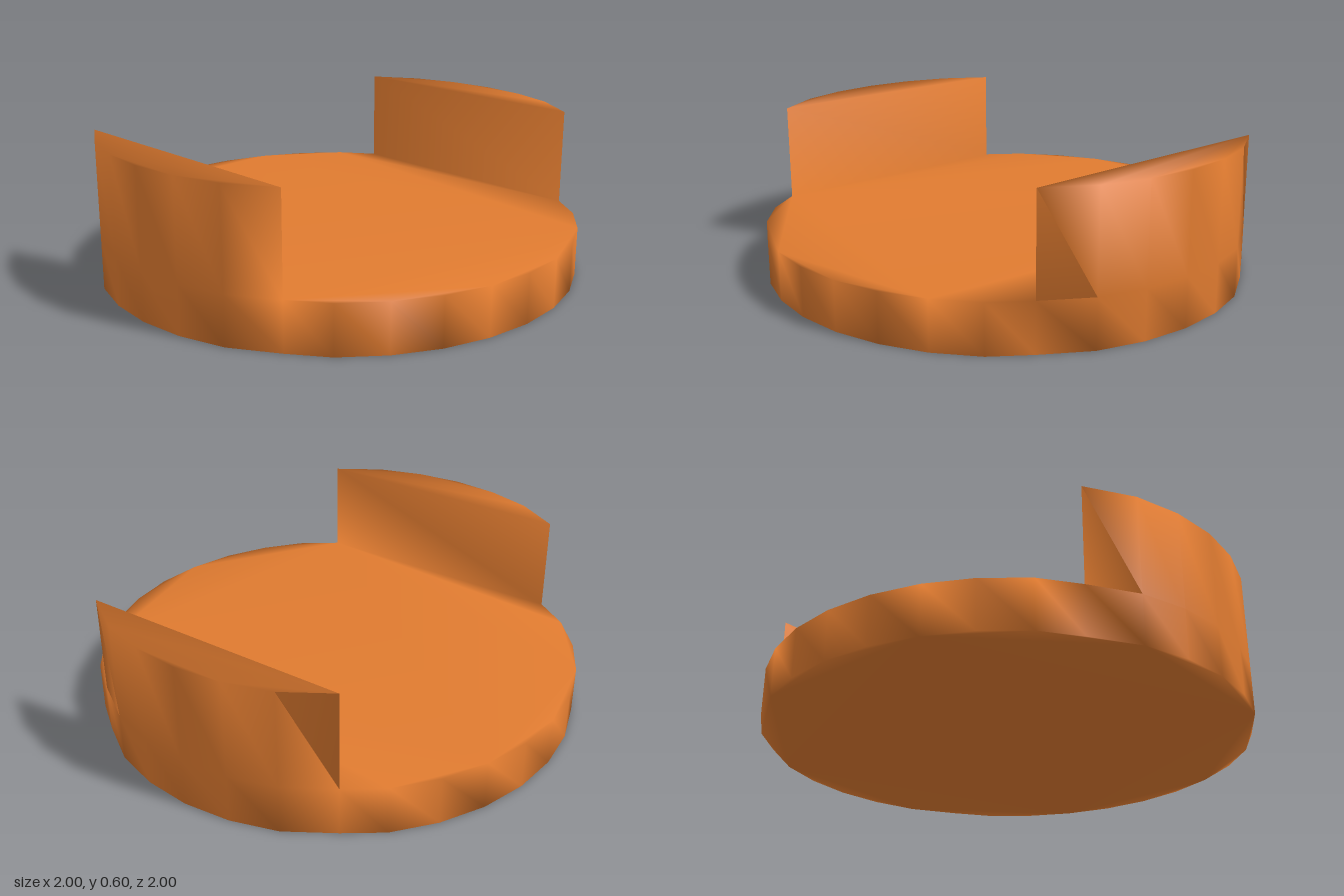
import * as THREE from 'three';
import { mergeVertices } from 'three/addons/utils/BufferGeometryUtils.js';

const FLOOR = 0.2, TOP = 0.6, SIDES = 32;
const WALL_END = new THREE.Vector2(0.81, 0.565);

// Outline in (x, z); the corners where the walls end sit on the wall chords
function outline() {
  const pts = [];
  for (let k = 0; k < SIDES; k++) {
    const a = (k / SIDES) * Math.PI * 2;
    const c = Math.cos(a), s = Math.sin(a);
    const end = [3, 13, 19, 29].includes(k);
    pts.push(end
      ? new THREE.Vector2(Math.sign(c) * WALL_END.x, Math.sign(s) * WALL_END.y)
      : new THREE.Vector2(c, s));
  }
  return pts;
}

function trayGeometry() {
  const ring = outline();
  const pos = [];
  const add = (p, y) => pos.push(p.x, y, p.y);

  // Flat face over a loop of points, facing up or down
  const cap = (loop, y, up) => {
    for (const [a, b, c] of THREE.ShapeUtils.triangulateShape(loop, [])) {
      for (const i of up ? [a, c, b] : [a, b, c]) add(loop[i], y);
    }
  };
  // Upright face between neighbouring points, facing out of the loop
  const side = (p, q, y0, y1) => {
    add(p, y0); add(p, y1); add(q, y1);
    add(p, y0); add(q, y1); add(q, y0);
  };
  const slice = (from, to) => {
    const out = [];
    for (let k = from; k <= to; k++) out.push(ring[(k + SIDES) % SIDES]);
    return out;
  };

  // Round base: underside and rim
  cap(ring, 0, false);
  ring.forEach((p, k) => side(p, ring[(k + 1) % SIDES], 0, FLOOR));

  // Floor between the two walls
  cap([...slice(3, 13), ...slice(19, 29)], FLOOR, true);

  // Left and right walls: curved outside, flat inside
  for (const [from, to] of [[-3, 3], [13, 19]]) {
    const seg = slice(from, to);
    cap(seg, TOP, true);
    seg.forEach((p, k) => side(p, seg[(k + 1) % seg.length], FLOOR, TOP));
  }

  // Shared corners give soft shading over the whole surface
  let geo = new THREE.BufferGeometry();
  geo.setAttribute('position', new THREE.Float32BufferAttribute(pos, 3));
  geo = mergeVertices(geo, 1e-4);
  geo.computeVertexNormals();
  return geo;
}

export function createModel() {
  const group = new THREE.Group();
  group.name = 'roundTray';
  const material = new THREE.MeshStandardMaterial({ color: 0xe07b30 });
  const tray = new THREE.Mesh(trayGeometry(), material);
  tray.name = 'trayWithSideWalls';
  group.add(tray);
  return group;
}
